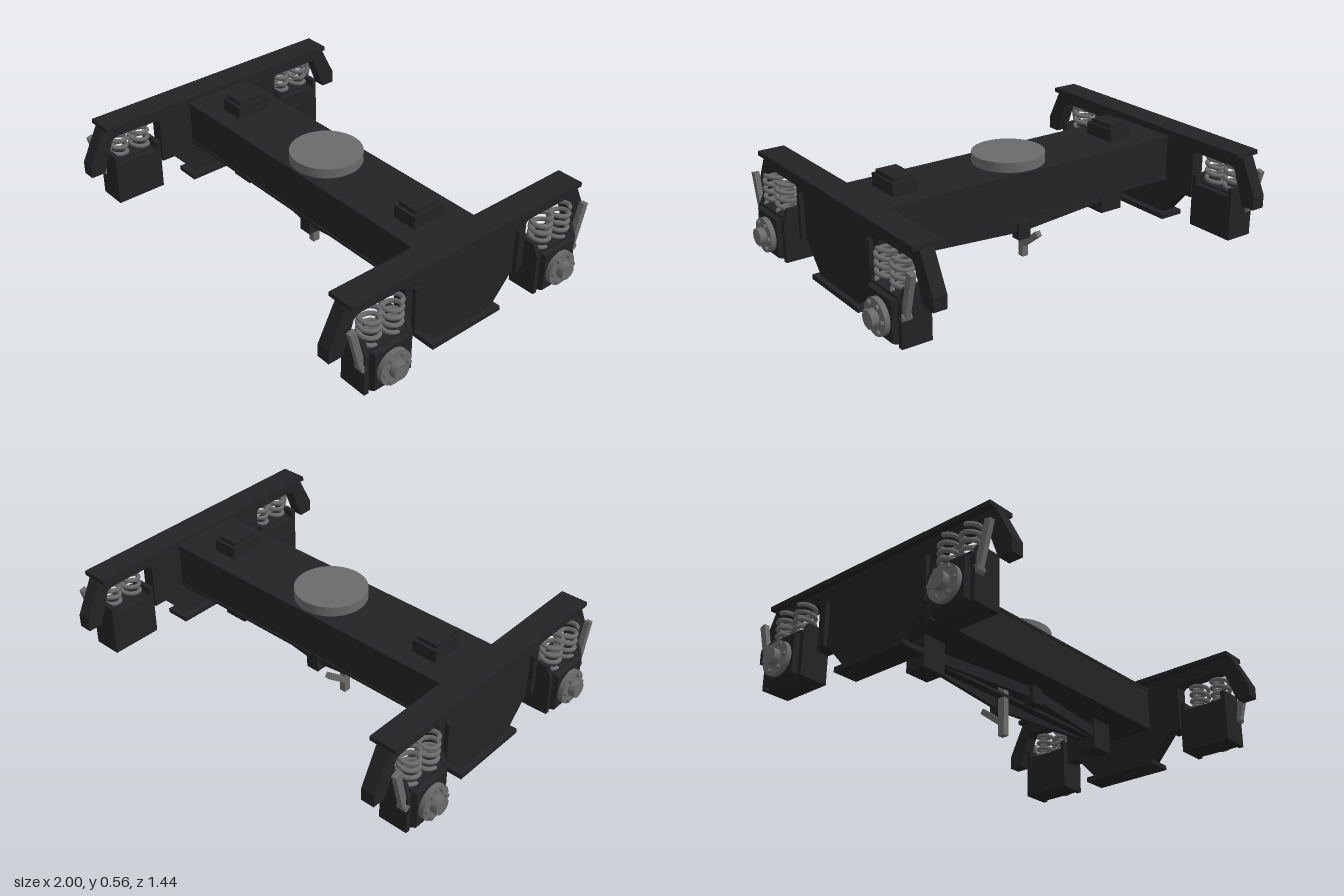
import * as THREE from 'three';

const dark = new THREE.MeshStandardMaterial({ color: 0x232325 });
const steel = new THREE.MeshStandardMaterial({ color: 0x6a6a6a });

function add(parent, name, geometry, material, x = 0, y = 0, z = 0) {
  const mesh = new THREE.Mesh(geometry, material);
  mesh.name = name;
  mesh.position.set(x, y, z);
  parent.add(mesh);
  return mesh;
}

// Box given by its lower and upper limits on each axis
function block(parent, name, [x0, x1], [y0, y1], [z0, z1], material = dark) {
  return add(parent, name, new THREE.BoxGeometry(x1 - x0, y1 - y0, z1 - z0), material,
    (x0 + x1) / 2, (y0 + y1) / 2, (z0 + z1) / 2);
}

// Rectangular bar from a to b
function bar(parent, name, a, b, width, depth, material) {
  const from = new THREE.Vector3(...a), to = new THREE.Vector3(...b);
  const mesh = add(parent, name, new THREE.BoxGeometry(width, depth, from.distanceTo(to)), material);
  mesh.position.copy(from).lerp(to, 0.5);
  mesh.lookAt(to);
  return mesh;
}

// Cylinder lying along x, from x0 to x1
function disc(parent, name, radius, x0, x1, y, z, material = steel, sides = 32) {
  const geometry = new THREE.CylinderGeometry(radius, radius, x1 - x0, sides).rotateZ(-Math.PI / 2);
  return add(parent, name, geometry, material, (x0 + x1) / 2, y, z);
}

class Helix extends THREE.Curve {
  constructor(radius, height, turns) {
    super();
    Object.assign(this, { radius, height, turns });
  }
  getPoint(t, target = new THREE.Vector3()) {
    const a = t * this.turns * Math.PI * 2;
    return target.set(Math.cos(a) * this.radius, t * this.height, Math.sin(a) * this.radius);
  }
}

// Side frame plate: half outline (z, y) mirrored about z = 0, with rounded arches
function frameGeometry() {
  const half = [[0.16, 0.095], [0.275, 0.225], [0.34, 0.225], [0.34, 0.438], [0.352, 0.45],
    [0.57, 0.45], [0.59, 0.444], [0.602, 0.43], [0.61, 0.405], [0.655, 0.285],
    [0.722, 0.285], [0.722, 0.345], [0.64, 0.507]];
  const outline = [...half, ...half.map(([z, y]) => [-z, y]).reverse()];
  const shape = new THREE.Shape(outline.map(([z, y]) => new THREE.Vector2(z, y)));
  return new THREE.ExtrudeGeometry(shape, { depth: 0.062, bevelEnabled: false })
    .rotateY(-Math.PI / 2).translate(0.862, 0, 0);
}

// Axle box with cover, hub, springs and damper; s is the end of the frame (+1 or -1)
function axleUnit(s) {
  const unit = new THREE.Group();
  unit.name = 'axleUnit';
  const zc = 0.477 * s;
  block(unit, 'axleBox', [0.79, 0.905], [0.1, 0.305], [zc - 0.115, zc + 0.115]);
  for (const side of [-1, 1]) {
    // Guide cheek with its outer top corner cut off
    const cheek = new THREE.Shape([[0.79, 0.1], [0.925, 0.1], [0.925, 0.29], [0.9, 0.345], [0.79, 0.345]]
      .map(([x, y]) => new THREE.Vector2(x, y)));
    add(unit, 'guideCheek', new THREE.ExtrudeGeometry(cheek, { depth: 0.022, bevelEnabled: false }),
      dark, 0, 0, zc + side * 0.111 - 0.011);
  }
  // Tapered cover
  const cover = new THREE.CylinderGeometry(0.088 * Math.SQRT2, 0.101 * Math.SQRT2, 0.042, 4, 1)
    .toNonIndexed().rotateY(Math.PI / 4).rotateZ(-Math.PI / 2);
  cover.computeVertexNormals();
  add(unit, 'axleCover', cover, dark, 0.924, 0.205, zc);
  disc(unit, 'hubDisc', 0.078, 0.935, 0.968, 0.2, zc);
  disc(unit, 'hubCap', 0.037, 0.96, 1, 0.2, zc);
  for (let i = 0; i < 6; i++) {
    const a = i * Math.PI / 3;
    disc(unit, 'hubBolt', 0.01, 0.96, 0.98, 0.2 + 0.061 * Math.sin(a), zc + 0.061 * Math.cos(a), steel, 8);
  }
  for (const z of [0.42, 0.535]) {
    add(unit, 'spring', new THREE.TubeGeometry(new Helix(0.042, 0.14, 4), 96, 0.01, 8), steel, 0.872, 0.31, z * s);
  }
  block(unit, 'springSeat', [0.82, 0.925], [0.3, 0.312], [zc - 0.105, zc + 0.105]);
  bar(unit, 'damper', [0.906, 0.23, 0.6 * s], [0.906, 0.428, 0.652 * s], 0.024, 0.03, steel);
  disc(unit, 'damperPin', 0.016, 0.885, 0.925, 0.232, 0.6 * s, steel, 16);
  return unit;
}

function sideAssembly() {
  const side = new THREE.Group();
  side.name = 'sideAssembly';
  add(side, 'sideFrame', frameGeometry(), dark);
  block(side, 'frameTopPlate', [0.766, 0.892], [0.506, 0.526], [-0.64, 0.64]);
  block(side, 'frameBottomPlate', [0.766, 0.886], [0.075, 0.097], [-0.195, 0.195]);
  for (const s of [-1, 1]) {
    block(side, 'frameRib', [0.855, 0.882], [0.225, 0.43], [0.29 * s - 0.012, 0.29 * s + 0.012]);
    side.add(axleUnit(s));
  }
  return side;
}

export function createModel() {
  const model = new THREE.Group();
  model.name = 'railBogieFrame';

  // Cross beam with thin top and bottom plates
  block(model, 'crossBeam', [-0.81, 0.81], [0.27, 0.475], [-0.168, 0.168]);
  block(model, 'crossBeamTopPlate', [-0.805, 0.805], [0.468, 0.48], [-0.174, 0.174]);
  block(model, 'crossBeamBottomPlate', [-0.805, 0.805], [0.265, 0.277], [-0.174, 0.174]);
  add(model, 'pivotPlate', new THREE.CylinderGeometry(0.163, 0.163, 0.046, 64), steel, 0, 0.502, 0);

  // Bearing pads above and brackets below the beam
  for (const s of [-1, 1]) {
    const x = 0.58 * s;
    block(model, 'bearingPad', [x - 0.06, x + 0.06], [0.475, 0.538], [-0.083, 0.083]);
    block(model, 'bearingPadTop', [x - 0.049, x + 0.049], [0.53, 0.556], [-0.068, 0.068]);
    block(model, 'brakeBracket', [x - 0.06 + 0.012 * -s, x + 0.05 - 0.012 * s + 0.01], [0.12, 0.27], [-0.05, 0.05]);
  }

  // Brake truss: bowed bars meeting at a block on each face
  block(model, 'brakeCrossBar', [-0.53, 0.53], [0.178, 0.192], [-0.02, 0.02]);
  for (const z of [-0.1, 0.1]) {
    block(model, 'trussBlock', [-0.032, 0.032], [0.145, 0.225], [z - 0.025, z + 0.025]);
    for (const s of [-1, 1]) {
      bar(model, 'trussBar', [0.53 * s, 0.2, z * 0.3], [0, 0.2, z], 0.018, 0.05, dark);
    }
  }

  // Hanging lever with a slanted arm
  block(model, 'lever', [-0.1, -0.07], [0, 0.268], [-0.017, 0.017], steel);
  bar(model, 'leverArm', [-0.085, 0.055, 0], [-0.085, 0.145, -0.115], 0.026, 0.026, steel);

  // Two matching sides
  const left = sideAssembly();
  const right = sideAssembly();
  right.rotation.y = Math.PI;
  model.add(left, right);
  return model;
}
